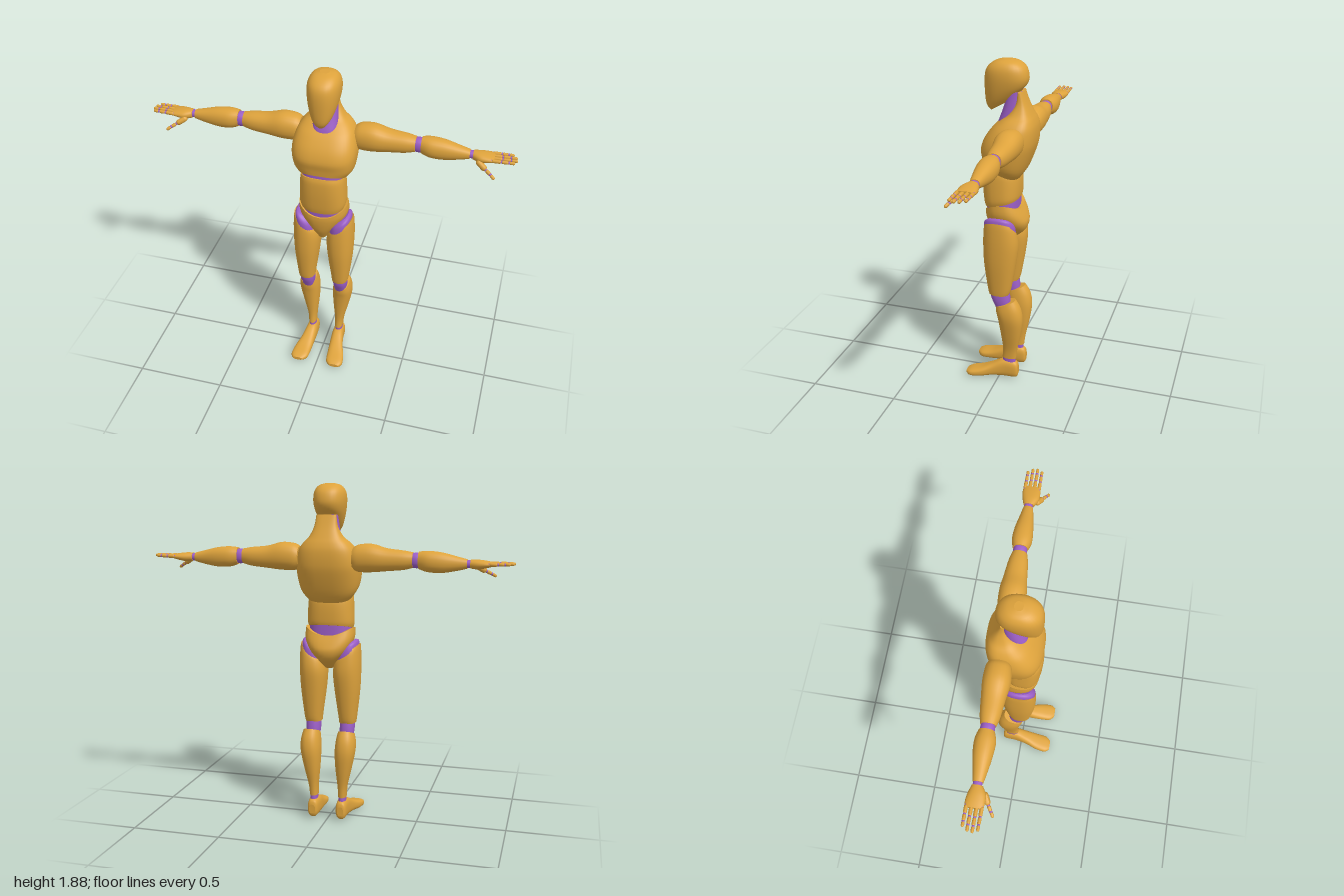
import * as THREE from 'three';

const gold = new THREE.MeshStandardMaterial({ name: 'gold body', color: 0xdea33c });
const purple = new THREE.MeshStandardMaterial({ name: 'purple joint', color: 0x9c5fc8 });

// Which axis a loft runs along; every map keeps the same handedness.
const ALONG = {
  y: (u, v, t) => [u, t, v],
  x: (u, v, t) => [t, v, u],
  z: (u, v, t) => [v, u, t],
};

const spline = (a, b, c, d, f) =>
  0.5 * (2 * b + (c - a) * f + (2 * a - 5 * b + 4 * c - d) * f * f + (3 * b - a - 3 * c + d) * f * f * f);

// Smooth loft through rows [t, u0, u1, v0, v1, tiltV, tiltU, arch], t ascending, with flat caps.
function loft(rows, { axis = 'y', power = 2.3, sides = 32, steps = 4 } = {}) {
  const full = rows.map((r) => Array.from({ length: 8 }, (_, i) => r[i] ?? 0));
  const at = (i) => full[Math.max(0, Math.min(full.length - 1, i))];
  const rings = [];
  for (let i = 0; i < full.length - 1; i++) {
    for (let s = 0; s < steps; s++) {
      rings.push(full[i].map((_, k) => spline(at(i - 1)[k], at(i)[k], at(i + 1)[k], at(i + 2)[k], s / steps)));
    }
  }
  rings.push(full[full.length - 1]);
  const pos = [], index = [];
  const bulge = (c) => Math.sign(c) * Math.abs(c) ** (2 / power);
  const addRing = ([t, u0, u1, v0, v1, tiltV, tiltU, arch]) => {
    const start = pos.length / 3;
    for (let j = 0; j < sides; j++) {
      const a = (j / sides) * Math.PI * 2;
      const c = bulge(Math.cos(a)), s = bulge(Math.sin(a));
      const du = c * (u1 - u0) / 2, dv = s * (v1 - v0) / 2;
      pos.push(...ALONG[axis]((u0 + u1) / 2 + du, (v0 + v1) / 2 + dv, t + tiltV * dv + tiltU * du + arch * c * c));
    }
    return start;
  };
  const starts = rings.map(addRing);
  for (let i = 0; i < starts.length - 1; i++) {
    for (let j = 0; j < sides; j++) {
      const k = (j + 1) % sides, a = starts[i], b = starts[i + 1];
      index.push(a + j, b + j, a + k, a + k, b + j, b + k);
    }
  }
  [rings[0], rings[rings.length - 1]].forEach((r, end) => {
    const start = addRing(r), centre = pos.length / 3;
    pos.push(...ALONG[axis]((r[1] + r[2]) / 2, (r[3] + r[4]) / 2, r[0]));
    for (let j = 0; j < sides; j++) {
      const k = (j + 1) % sides;
      index.push(centre, start + (end ? k : j), start + (end ? j : k));
    }
  });
  const g = new THREE.BufferGeometry();
  g.setAttribute('position', new THREE.Float32BufferAttribute(pos, 3));
  g.setIndex(index);
  g.computeVertexNormals();
  return g;
}

// Rounded rod between two points.
function rod(a, b, radius) {
  const p = new THREE.Vector3(...a), q = new THREE.Vector3(...b);
  const dir = q.clone().sub(p);
  const g = new THREE.CapsuleGeometry(radius, Math.max(0.001, dir.length() - radius * 2), 4, 10);
  g.applyQuaternion(new THREE.Quaternion().setFromUnitVectors(new THREE.Vector3(0, 1, 0), dir.normalize()));
  return g.translate(...p.add(q).multiplyScalar(0.5).toArray());
}

// Copy mirrored across x = 0, with corner order restored.
function mirrored(geometry) {
  const g = geometry.clone().scale(-1, 1, 1);
  const ix = g.index.array;
  for (let i = 0; i < ix.length; i += 3) [ix[i + 1], ix[i + 2]] = [ix[i + 2], ix[i + 1]];
  g.computeVertexNormals();
  return g;
}

export function createModel() {
  const model = new THREE.Group();
  model.name = 'jointedMannequin';
  const add = (name, geometry, material) => {
    const mesh = new THREE.Mesh(geometry, material);
    mesh.name = name;
    model.add(mesh);
  };
  const addPair = (name, geometry, material) => {
    add(`left${name}`, geometry, material);
    add(`right${name}`, mirrored(geometry), material);
  };

  // Head and neck
  add('head', loft([
    [1.65, -0.038, 0.038, -0.08, 0.07, -0.6], [1.68, -0.06, 0.06, -0.1, 0.092, -0.45],
    [1.73, -0.078, 0.078, -0.125, 0.1, -0.2], [1.79, -0.087, 0.087, -0.137, 0.1],
    [1.84, -0.082, 0.082, -0.125, 0.085], [1.872, -0.06, 0.06, -0.09, 0.045],
    [1.884, -0.025, 0.025, -0.045, 0],
  ]), gold);
  add('neck', loft([
    [1.52, -0.07, 0.07, -0.07, 0.03], [1.56, -0.068, 0.068, -0.08, 0.022],
    [1.62, -0.064, 0.064, -0.1, 0], [1.72, -0.055, 0.055, -0.108, -0.03],
  ]), purple);

  // Torso: chest rising into the back of the neck, inner core, abdomen and pelvis
  add('chest', loft([
    [1.285, -0.128, 0.128, -0.1, 0.095, 0.4], [1.33, -0.16, 0.16, -0.135, 0.1, 0.25],
    [1.41, -0.174, 0.174, -0.175, 0.108], [1.47, -0.172, 0.172, -0.186, 0.088],
    [1.53, -0.155, 0.155, -0.186, 0.045], [1.57, -0.128, 0.128, -0.176, 0],
    [1.605, -0.092, 0.092, -0.16, -0.04], [1.66, -0.064, 0.064, -0.135, -0.075],
    [1.72, -0.055, 0.055, -0.112, -0.085],
  ], { power: 2.8, sides: 40 }), gold);
  add('torsoCore', loft([
    [1.0, -0.115, 0.115, -0.09, 0.078], [1.1, -0.118, 0.118, -0.09, 0.085],
    [1.25, -0.114, 0.114, -0.09, 0.092], [1.36, -0.12, 0.12, -0.095, 0.088],
  ], { power: 2.6 }), purple);
  add('abdomen', loft([
    [1.1, -0.122, 0.122, -0.096, 0.09, -0.25], [1.13, -0.129, 0.129, -0.1, 0.098, -0.15],
    [1.2, -0.127, 0.127, -0.102, 0.106], [1.26, -0.123, 0.123, -0.1, 0.107, 0.15],
    [1.285, -0.118, 0.118, -0.094, 0.1, 0.22],
  ], { power: 2.6 }), gold);
  add('pelvis', loft([
    [0.875, -0.025, 0.025, -0.06, 0.04], [0.93, -0.065, 0.065, -0.125, 0.07],
    [0.98, -0.108, 0.108, -0.144, 0.084], [1.02, -0.136, 0.136, -0.132, 0.09, 0, 0, 0.025],
    [1.055, -0.136, 0.136, -0.108, 0.09, -0.1, 0, 0.05],
  ], { power: 2.4 }), gold);

  // Legs
  addPair('Hip', loft([
    [0.88, 0.035, 0.162, -0.1, 0.075, 0, 0.7], [0.98, 0.04, 0.158, -0.095, 0.08, 0, 0.7],
    [1.01, 0.055, 0.14, -0.07, 0.055, 0, 0.6],
  ]), purple);
  addPair('Thigh', loft([
    [0.56, 0.052, 0.145, -0.063, 0.052], [0.6, 0.048, 0.151, -0.075, 0.06],
    [0.75, 0.028, 0.167, -0.1, 0.08], [0.86, 0.02, 0.172, -0.112, 0.085, 0, 0.2],
    [0.935, 0.025, 0.17, -0.103, 0.082, 0, 0.55], [0.965, 0.036, 0.166, -0.09, 0.076, 0, 0.75],
  ]), gold);
  addPair('Knee', loft([
    [0.45, 0.068, 0.125, -0.06, 0.005], [0.49, 0.06, 0.135, -0.07, 0.022],
    [0.54, 0.057, 0.139, -0.068, 0.042], [0.6, 0.06, 0.135, -0.058, 0.045],
  ]), purple);
  addPair('Shin', loft([
    [0.135, 0.06, 0.106, -0.102, -0.02], [0.2, 0.058, 0.112, -0.11, -0.024],
    [0.3, 0.048, 0.135, -0.13, -0.014], [0.4, 0.043, 0.155, -0.142, 0],
    [0.46, 0.047, 0.156, -0.13, 0.01, -0.2], [0.505, 0.055, 0.146, -0.1, 0.014, -0.4],
  ]), gold);
  addPair('Ankle', loft([
    [0.09, 0.062, 0.104, -0.1, -0.022], [0.15, 0.062, 0.103, -0.098, -0.024],
  ]), purple);
  addPair('Foot', loft([
    [-0.115, 0.03, 0.085, 0.065, 0.1], [-0.1, 0.01, 0.113, 0.053, 0.112],
    [-0.03, 0.008, 0.119, 0.048, 0.118], [0.04, 0.007, 0.086, 0.05, 0.132],
    [0.1, 0.002, 0.06, 0.053, 0.152], [0.16, 0, 0.044, 0.06, 0.159],
    [0.188, 0.012, 0.032, 0.085, 0.142],
  ], { axis: 'z', power: 2.6 }), gold);

  // Arms
  const arm = { axis: 'x', power: 2.2, sides: 24 };
  addPair('UpperArm', loft([
    [0.15, -0.155, -0.04, 1.435, 1.55], [0.18, -0.165, -0.03, 1.42, 1.566],
    [0.25, -0.168, -0.025, 1.42, 1.571], [0.33, -0.16, -0.036, 1.428, 1.55],
    [0.42, -0.15, -0.046, 1.437, 1.54], [0.472, -0.138, -0.058, 1.45, 1.531],
  ], arm), gold);
  addPair('Elbow', loft([
    [0.45, -0.13, -0.066, 1.455, 1.525], [0.49, -0.136, -0.062, 1.448, 1.53],
    [0.53, -0.13, -0.066, 1.455, 1.525],
  ], arm), purple);
  addPair('Forearm', loft([
    [0.502, -0.14, -0.06, 1.445, 1.536], [0.55, -0.153, -0.046, 1.43, 1.541],
    [0.62, -0.15, -0.05, 1.427, 1.535], [0.7, -0.135, -0.062, 1.44, 1.516],
    [0.755, -0.125, -0.072, 1.453, 1.502],
  ], arm), gold);
  addPair('Wrist', loft([
    [0.735, -0.122, -0.076, 1.456, 1.498], [0.79, -0.122, -0.076, 1.458, 1.498],
  ], arm), purple);
  addPair('Palm', loft([
    [0.772, -0.126, -0.07, 1.455, 1.5], [0.81, -0.138, -0.05, 1.451, 1.501],
    [0.85, -0.144, -0.048, 1.458, 1.497], [0.882, -0.141, -0.051, 1.467, 1.491],
  ], arm), gold);

  // Fingers in three segments with small joints between
  [[-0.134, 0.978], [-0.109, 0.996], [-0.084, 1], [-0.059, 0.988]].forEach(([z, tip], f) => {
    const point = (k) => [0.868 + (tip - 0.868) * k, 1.48 + 0.003 * k, z];
    const stops = [0, 0.42, 0.74, 1];
    for (let s = 0; s < 3; s++) {
      addPair(`Finger${f + 1}Segment${s + 1}`, rod(point(stops[s]), point(stops[s + 1]), 0.0098 - s * 0.0008), gold);
      const joint = new THREE.SphereGeometry(0.008, 10, 8).translate(...point(stops[s] + 0.01));
      addPair(`Finger${f + 1}Joint${s + 1}`, joint, purple);
    }
  });

  // Thumb
  const thumb = [[0.795, 1.468, -0.062], [0.848, 1.436, -0.034], [0.874, 1.422, -0.018], [0.898, 1.407, -0.003]];
  for (let s = 0; s < 3; s++) {
    addPair(`ThumbSegment${s + 1}`, rod(thumb[s], thumb[s + 1], [0.016, 0.0095, 0.0085][s]), gold);
    if (s) addPair(`ThumbJoint${s}`, new THREE.SphereGeometry(0.0085, 10, 8).translate(...thumb[s]), purple);
  }
  return model;
}
